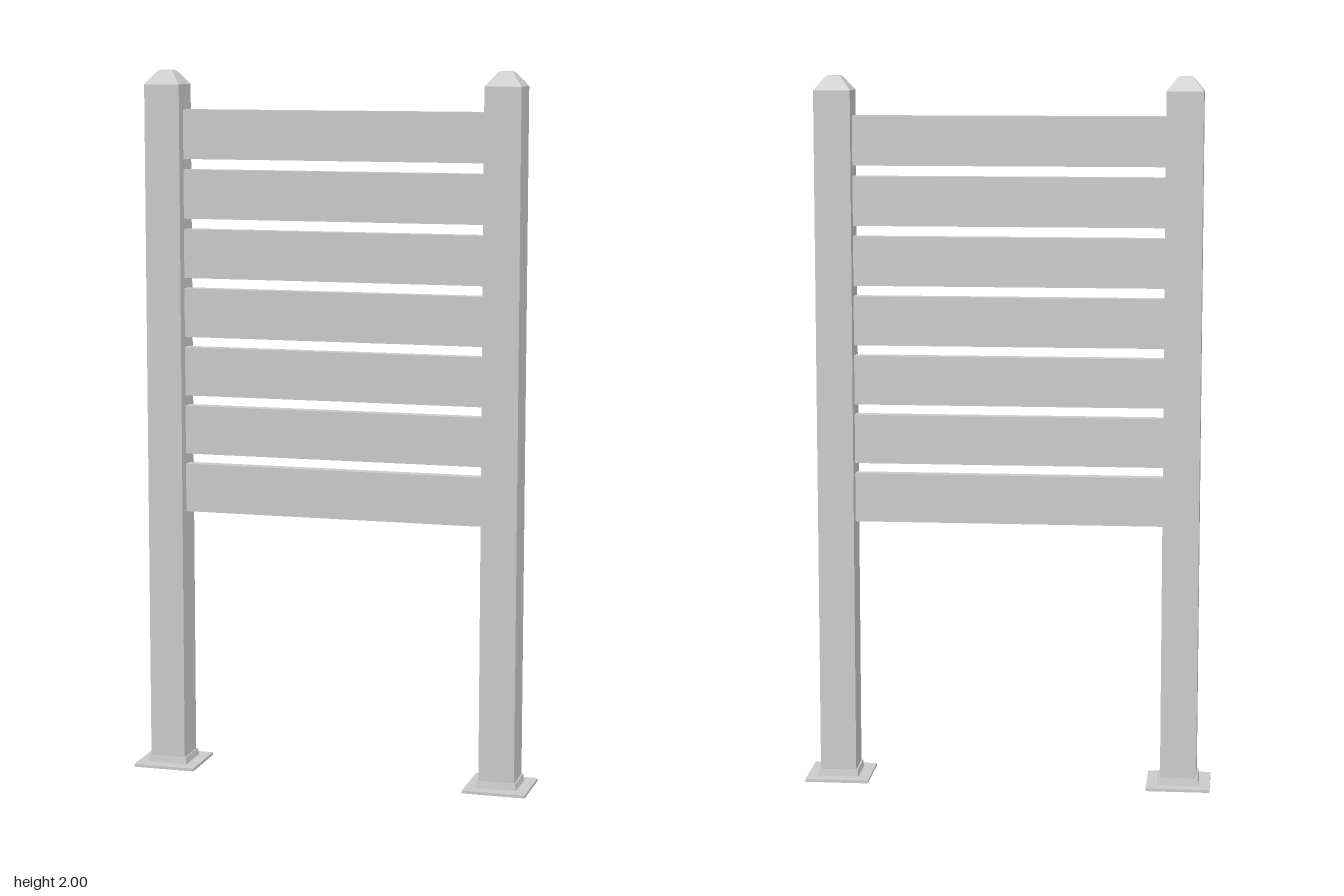
import * as THREE from 'three';

const grey = new THREE.MeshStandardMaterial({ color: 0xcccccc, flatShading: true });
const greyOpen = new THREE.MeshStandardMaterial({ color: 0xcccccc, flatShading: true, side: THREE.DoubleSide });

function part(name, geometry, material = grey) {
  const mesh = new THREE.Mesh(geometry, material);
  mesh.name = name;
  return mesh;
}

// Square-section shell swept up through [halfWidth, y] pairs
function squareShell(profile) {
  const points = profile.map(([half, y]) => new THREE.Vector2(half * Math.SQRT2, y));
  return new THREE.LatheGeometry(points, 4, Math.PI / 4);
}

// Fence post: open-bottomed tube, hipped cap, collar and floor flange
function makePost(x) {
  const post = new THREE.Group();
  post.name = x > 0 ? 'leftPost' : 'rightPost';
  post.position.x = x;
  post.add(
    part('postTube', squareShell([[0.051, 0.008], [0.051, 1.96]]), greyOpen),
    part('postCap', squareShell([[0.051, 1.96], [0.022, 1.996], [0.016, 2], [0, 2]]), greyOpen),
    part('baseCollar', squareShell([[0.058, 0.009], [0.055, 0.028], [0.051, 0.028]]), greyOpen),
    part('basePlate', squareShell([
      [0.058, 0], [0.09, 0], [0.09, 0.008], [0.058, 0.009], [0.058, 0],
    ]), greyOpen),
  );
  return post;
}

export function createModel() {
  const model = new THREE.Group();
  model.name = 'slattedFencePanel';
  const postX = 0.486;
  for (const side of [-1, 1]) model.add(makePost(side * postX));

  // Horizontal boards between the posts
  const count = 7, height = 0.138, pitch = 0.1675, topY = 1.89;
  const board = new THREE.BoxGeometry(0.872, height, 0.034);
  for (let i = 0; i < count; i++) {
    const slat = part(`slat${i + 1}`, board);
    slat.position.y = topY - height / 2 - i * pitch;
    model.add(slat);
  }
  return model;
}
